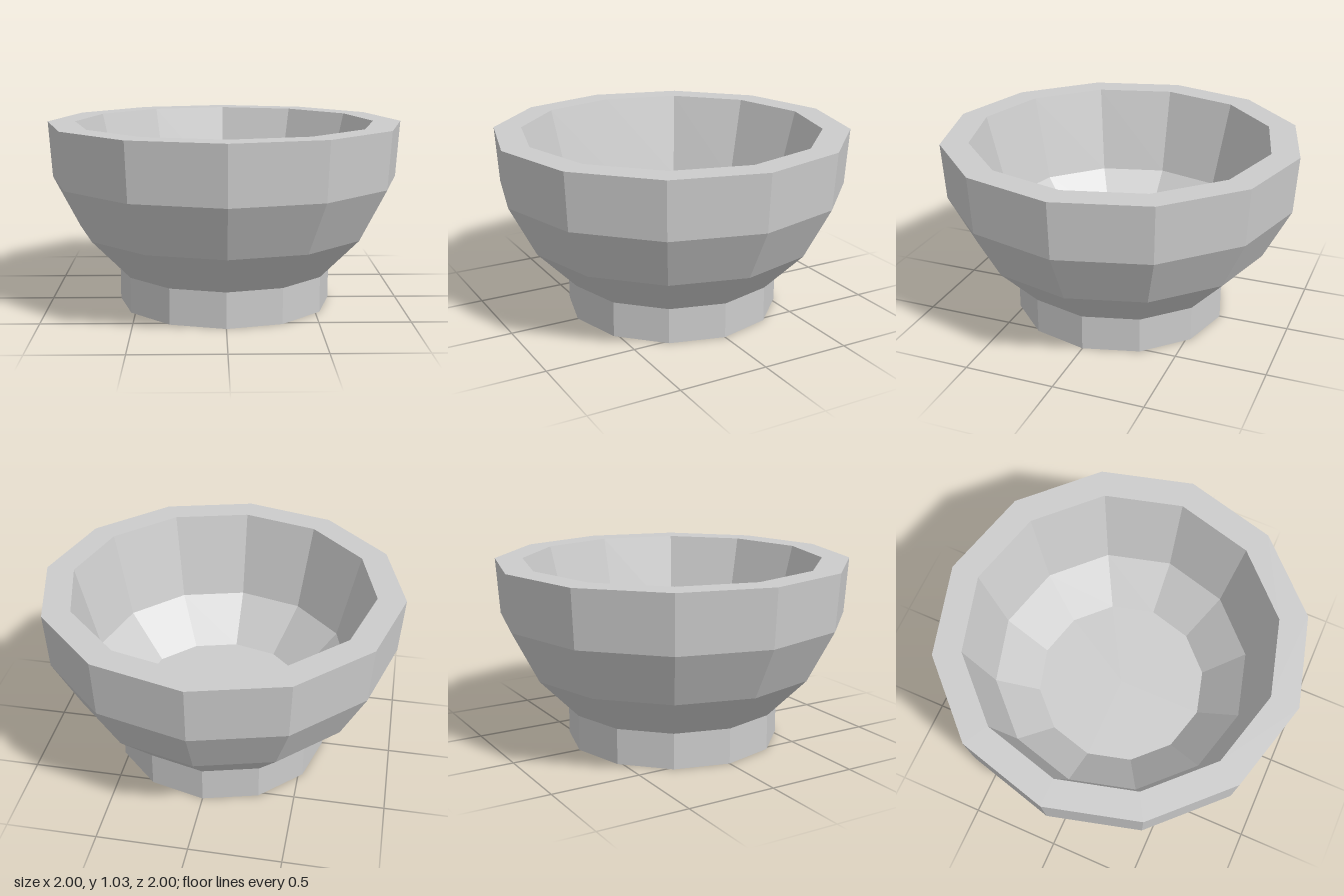
import * as THREE from 'three';

const SIDES = 12;

export function createModel() {
  const model = new THREE.Group();
  model.name = 'bowl';

  const clay = new THREE.MeshStandardMaterial({ color: 0xcccccc, flatShading: true });
  clay.name = 'light grey clay';

  // Turns a profile of [radius, height] points into a faceted ring
  function turn(name, profile) {
    const points = profile.map(([r, y]) => new THREE.Vector2(r, y));
    const mesh = new THREE.Mesh(new THREE.LatheGeometry(points, SIDES), clay);
    mesh.name = name;
    model.add(mesh);
  }

  // Straight foot with a closed underside
  turn('foot', [[0, 0], [0.605, 0], [0.605, 0.2]]);

  // Flaring outer wall
  turn('outerWall', [[0.605, 0.2], [0.83, 0.43], [0.98, 0.72], [1, 1.035]]);

  // Flat, thick rim
  turn('rim', [[1, 1.035], [0.845, 1.035]]);

  // Hollow inside with a flat floor
  turn('innerWall', [[0.845, 1.035], [0.72, 0.55], [0.487, 0.31]]);
  turn('floor', [[0.487, 0.31], [0, 0.31]]);

  return model;
}
